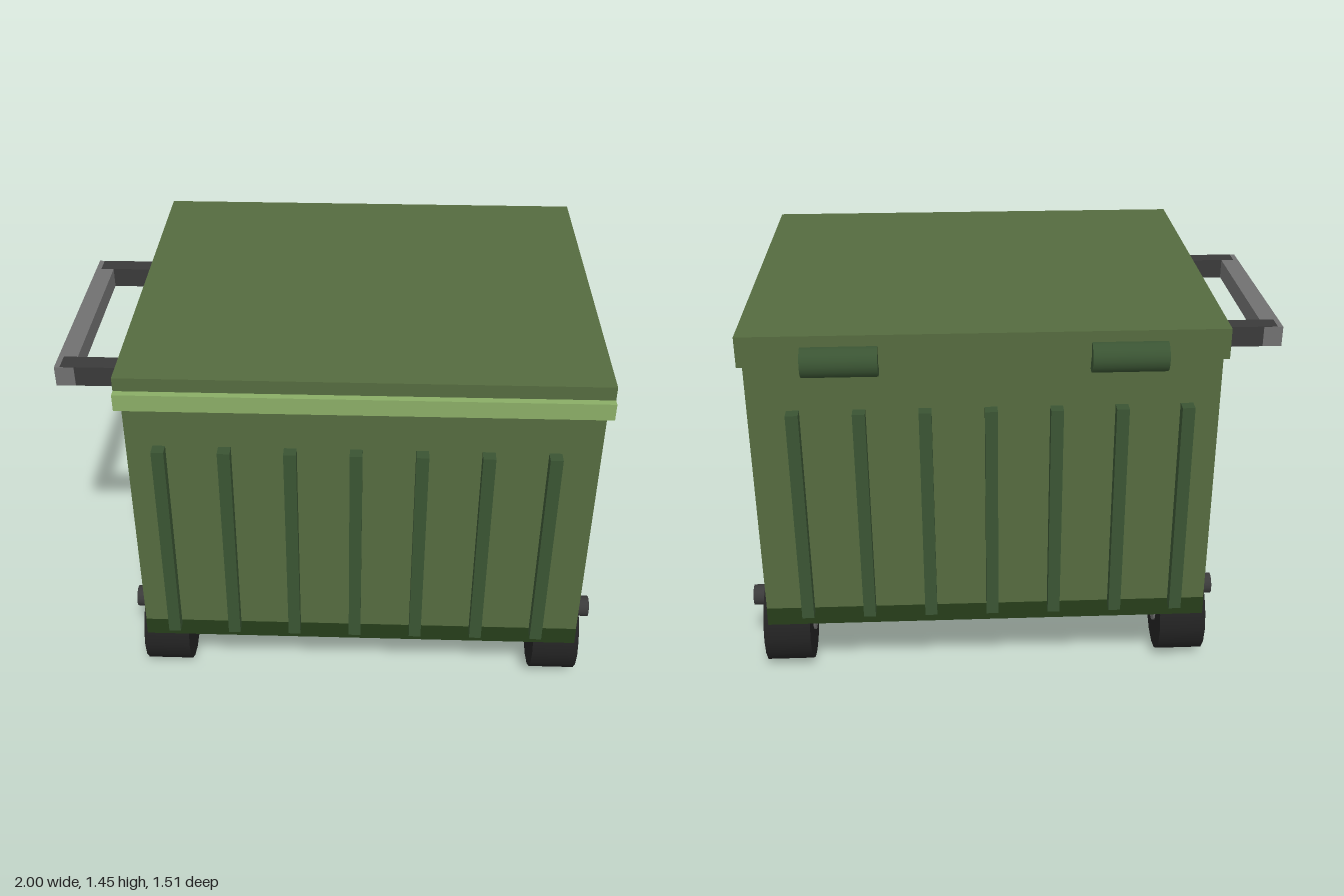
import * as THREE from 'three';

const mat = (color) => new THREE.MeshStandardMaterial({ color });
const olive = mat(0x556b3f), ribGreen = mat(0x3a5433), baseGreen = mat(0x263d1a);
const lipGreen = mat(0x8aad66), rubber = mat(0x222222), steel = mat(0x3a3a3a), hubGrey = mat(0x707070);

export function createModel() {
  const model = new THREE.Group();

  // box given by its extents on each axis
  const box = (name, material, [x0, x1], [y0, y1], [z0, z1]) => {
    const m = new THREE.Mesh(new THREE.BoxGeometry(x1 - x0, y1 - y0, z1 - z0), material);
    m.position.set((x0 + x1) / 2, (y0 + y1) / 2, (z0 + z1) / 2);
    m.name = name;
    model.add(m);
  };
  // cylinder lying along x
  const rod = (name, material, [x0, x1], y, z, r, sides = 16) => {
    const m = new THREE.Mesh(new THREE.CylinderGeometry(r, r, x1 - x0, sides).rotateZ(Math.PI / 2), material);
    m.position.set((x0 + x1) / 2, y, z);
    m.name = name;
    model.add(m);
  };

  // bin body, base band and lid
  box('body', olive, [-0.715, 0.918], [0.36, 1.34], [-0.684, 0.712]);
  box('base', baseGreen, [-0.716, 0.919], [0.288, 0.36], [-0.685, 0.713]);
  box('lid', olive, [-0.733, 0.935], [1.34, 1.45], [-0.702, 0.728]);
  box('lidLip', lipGreen, [-0.733, 0.935], [1.338, 1.4], [0.7, 0.754]);

  // vertical ribs on front and back
  for (let i = 0; i < 7; i++) {
    const x = -0.6 + i * 0.227;
    box('frontRib', ribGreen, [x - 0.022, x + 0.022], [0.343, 1.17], [0.69, 0.755]);
    box('backRib', ribGreen, [x - 0.022, x + 0.022], [0.343, 1.17], [-0.728, -0.66]);
  }

  // lid hinges
  for (const x of [-0.39, 0.59]) rod('hinge', ribGreen, [x - 0.13, x + 0.13], 1.357, -0.7, 0.054);

  // push handle on the right side
  for (const z of [-0.34, 0.425]) box('handleArm', steel, [-0.98, -0.71], [1.249, 1.326], [z - 0.036, z + 0.036]);
  box('handleBar', hubGrey, [-1, -0.93], [1.25, 1.325], [-0.378, 0.463]);

  // axles, wheels, hubs and mounting plates
  for (const z of [0.484, -0.455]) {
    rod('axle', steel, [-0.79, 1], 0.272, z, 0.04);
    for (const side of [-1, 1]) {
      const x = 0.102 + side * 0.762;
      rod('wheel', rubber, [x - 0.088, x + 0.088], 0.166, z, 0.166);
      rod('hub', hubGrey, [x - 0.096, x + 0.096], 0.166, z, 0.054);
      const outer = 0.102 + side * 0.836, inner = 0.102 + side * 0.8;
      box('wheelPlate', steel, [Math.min(outer, inner), Math.max(outer, inner)], [0.29, 0.495], [z - 0.092, z + 0.092]);
    }
  }
  return model;
}
